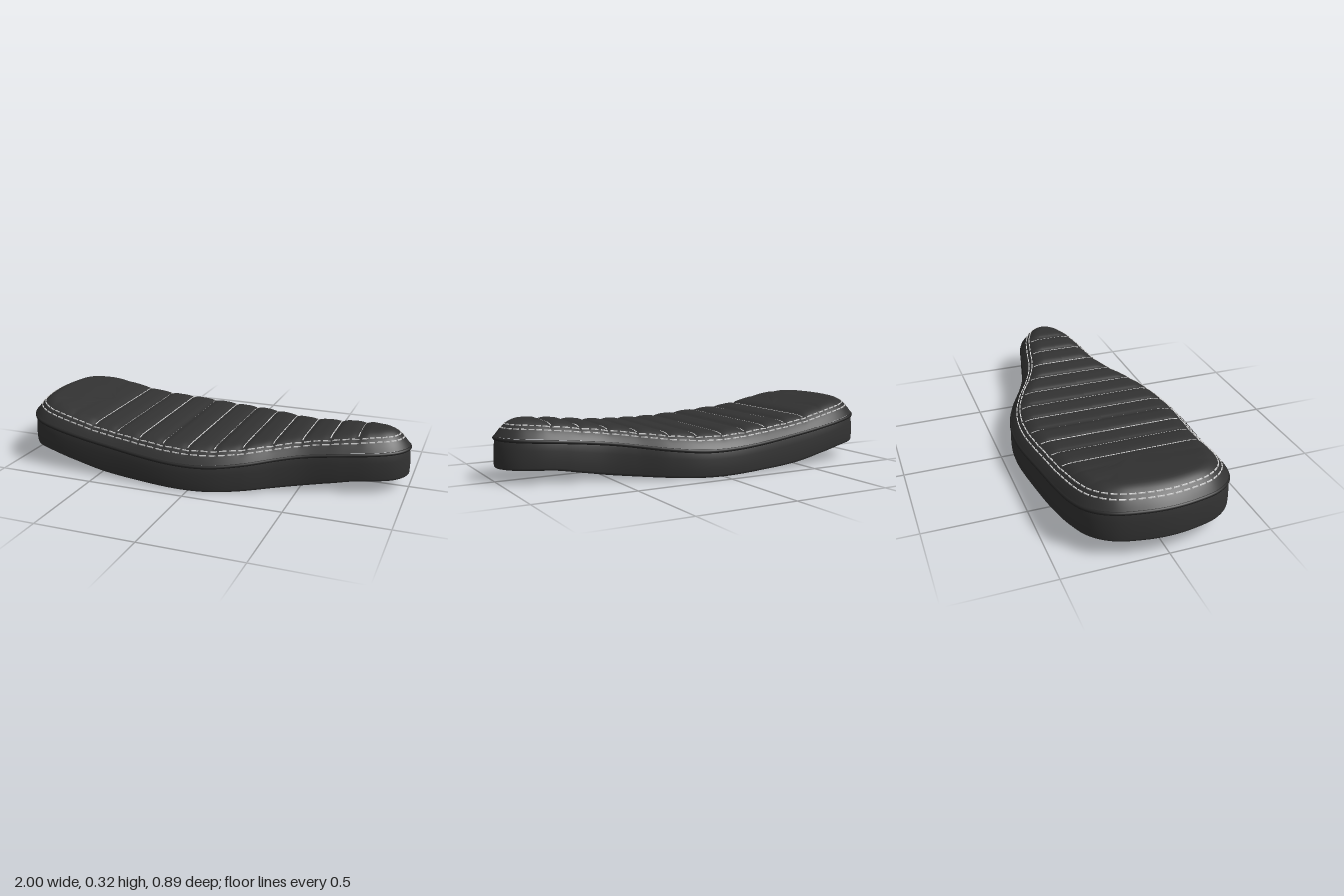
import * as THREE from 'three';
import { mergeGeometries } from 'three/addons/utils/BufferGeometryUtils.js';

const leather = new THREE.MeshStandardMaterial({ color: 0x323232 });
leather.name = 'black leather';
const pipingBlack = new THREE.MeshStandardMaterial({ color: 0x262626 });
pipingBlack.name = 'piping black';
const thread = new THREE.MeshStandardMaterial({ color: 0xd8d8d8 });
thread.name = 'white thread';

// Smooth curve through [x, y] points
function profile(pts) {
  const slope = (i) => {
    const a = pts[Math.max(i - 1, 0)], b = pts[Math.min(i + 1, pts.length - 1)];
    return (b[1] - a[1]) / (b[0] - a[0]);
  };
  return (x) => {
    x = THREE.MathUtils.clamp(x, pts[0][0], pts[pts.length - 1][0]);
    let i = 0;
    while (i < pts.length - 2 && x > pts[i + 1][0]) i++;
    const h = pts[i + 1][0] - pts[i][0], t = (x - pts[i][0]) / h;
    const t2 = t * t, t3 = t2 * t;
    return (2 * t3 - 3 * t2 + 1) * pts[i][1] + (t3 - 2 * t2 + t) * h * slope(i)
      + (3 * t2 - 2 * t3) * pts[i + 1][1] + (t3 - t2) * h * slope(i + 1);
  };
}

// Side profiles along the length
const bottomY = profile([[-1, 0.09], [-0.8, 0.085], [-0.65, 0.06], [-0.45, 0.025], [-0.2, 0.011],
  [0.05, 0.002], [0.3, 0.01], [0.5, 0.024], [0.65, 0.046], [0.77, 0.063], [1, 0.067]]);
const seamY = profile([[-1, 0.24], [-0.8, 0.215], [-0.5, 0.172], [-0.2, 0.14], [0.05, 0.127],
  [0.25, 0.141], [0.5, 0.172], [0.75, 0.194], [1, 0.206]]);
const crownY = profile([[-1, 0.325], [-0.87, 0.325], [-0.7, 0.298], [-0.5, 0.256], [-0.25, 0.232],
  [0, 0.217], [0.2, 0.224], [0.4, 0.243], [0.6, 0.268], [0.8, 0.293], [0.9, 0.298], [1, 0.298]]);

// Plan outline, mirrored across z
const half = [[0.985, 0.055], [0.94, 0.11], [0.85, 0.158], [0.7, 0.197], [0.52, 0.235], [0.4, 0.285],
  [0.25, 0.367], [0.1, 0.422], [-0.1, 0.445], [-0.4, 0.422], [-0.77, 0.382], [-0.88, 0.335],
  [-0.95, 0.25], [-0.988, 0.12]];
const outline = new THREE.CatmullRomCurve3([[1, 0], ...half, [-1, 0],
  ...half.map(([x, z]) => [x, -z]).reverse()].map(([x, z]) => new THREE.Vector3(x, 0, z)), true);
outline.arcLengthDivisions = 1200;
const N = 420;
const edge = outline.getSpacedPoints(N).slice(0, N);

// Move an outline point d inwards, plus a fraction s of the way left to the spine
function inset(p, d, s = 0) {
  const c = new THREE.Vector3(THREE.MathUtils.clamp(p.x, -0.6, 0.8), 0, 0);
  const len = p.distanceTo(c), dist = d + s * (len - d);
  const q = p.clone().lerp(c, dist / len);
  return { x: q.x, z: q.z, dist };
}

// Padded top: rounded shoulder and quilted ribs
const PITCH = 0.13, FIRST = -0.54, DEPTH = 0.13;
function cushionY(x, dist) {
  const f = 1 - Math.pow(1 - Math.min(dist / DEPTH, 1), 2.2);
  let groove = 0;
  if (x > -0.87 && x < 0.83) {
    const size = x < -0.6 ? 0.005 : 0.014;
    groove = size * Math.pow(1 - Math.abs(Math.sin(Math.PI * (x - FIRST) / PITCH)), 2);
  }
  return THREE.MathUtils.lerp(seamY(x), crownY(x), f) - groove * f ** 4;
}

// Skin made of closed rings; each row is { d, s, y(x, dist) }
function skin(name, rows) {
  const pos = [], index = [];
  rows.forEach(({ d, s, y }) => edge.forEach((p) => {
    const q = inset(p, d, s);
    pos.push(q.x, y(q.x, q.dist), q.z);
  }));
  for (let j = 0; j < rows.length - 1; j++) {
    for (let i = 0; i < N; i++) {
      const k = (i + 1) % N;
      const a = j * N + i, b = j * N + k, c = a + N, e = b + N;
      index.push(a, c, b, b, c, e);
    }
  }
  const g = new THREE.BufferGeometry();
  g.setAttribute('position', new THREE.Float32BufferAttribute(pos, 3));
  g.setIndex(index);
  g.computeVertexNormals();
  const mesh = new THREE.Mesh(g, leather);
  mesh.name = name;
  return mesh;
}

// One short thread lying from a to b
function stitch(a, b) {
  const g = new THREE.BoxGeometry(0.005, 0.005, a.distanceTo(b));
  const m = new THREE.Matrix4().lookAt(b, a, new THREE.Vector3(0, 1, 0));
  m.setPosition(a.clone().add(b).multiplyScalar(0.5));
  return g.applyMatrix4(m);
}

function stitchMesh(name, list) {
  const mesh = new THREE.Mesh(mergeGeometries(list), thread);
  mesh.name = name;
  return mesh;
}

export function createModel() {
  const seat = new THREE.Group();
  seat.name = 'seat';

  // Underside and side wall
  seat.add(skin('underside', [1, 0.75, 0.5, 0.25, 0].map((s) => ({ d: 0.01, s, y: bottomY }))));
  const wall = [[0.01, 0], [0.005, 0.03], [0.003, 0.09], [0.002, 0.35], [0.004, 0.7], [0.009, 0.92], [0.013, 1]];
  seat.add(skin('sideWall', wall.map(([d, t]) => ({
    d, s: 0, y: (x) => THREE.MathUtils.lerp(bottomY(x), seamY(x), t),
  }))));

  // Cushion: dense rows on the shoulder, then in to the spine
  const rows = [0.008, 0.016, 0.025, 0.035, 0.047, 0.06, 0.075, 0.09, 0.105, 0.12]
    .map((d) => ({ d, s: 0, y: cushionY }));
  [0.1, 0.3, 0.5, 0.75, 1].forEach((s) => rows.push({ d: 0.12, s, y: cushionY }));
  seat.add(skin('cushion', rows));

  // Piping along the seam
  const path = new THREE.CatmullRomCurve3(edge.filter((_, i) => i % 3 === 0).map((p) => {
    const q = inset(p, 0.009);
    return new THREE.Vector3(q.x, seamY(q.x) + 0.002, q.z);
  }), true);
  const piping = new THREE.Mesh(new THREE.TubeGeometry(path, 280, 0.009, 8, true), pipingBlack);
  piping.name = 'piping';
  seat.add(piping);

  // Twin rows of stitches around the shoulder
  const border = [];
  for (const d of [0.04, 0.058]) {
    const at = (i) => {
      const q = inset(edge[i % N], d);
      return new THREE.Vector3(q.x, cushionY(q.x, q.dist) + 0.001, q.z);
    };
    for (let i = 0; i < N; i += 4) {
      border.push(stitch(at(i), at(i + 1).lerp(at(i + 2), 0.0)));
      border.push(stitch(at(i + 1), at(i + 2)), stitch(at(i + 2), at(i + 3)));
    }
  }
  seat.add(stitchMesh('borderStitches', border));

  // Cross stitches in the grooves
  const cross = [];
  for (let k = 0; k < 11; k++) {
    const x = FIRST + k * PITCH;
    const width = edge.reduce((a, b) => (Math.abs(b.x - x) < Math.abs(a.x - x) ? b : a));
    const w = Math.abs(width.z), end = w - 0.072;
    const at = (z) => new THREE.Vector3(x, cushionY(x, w - Math.abs(z)) + 0.001, z);
    const count = Math.round(2 * end / 0.026), step = 2 * end / count;
    for (let i = 0; i < count; i++) {
      const z = -end + i * step;
      cross.push(stitch(at(z), at(z + step * 0.86)));
    }
  }
  seat.add(stitchMesh('crossStitches', cross));
  return seat;
}
